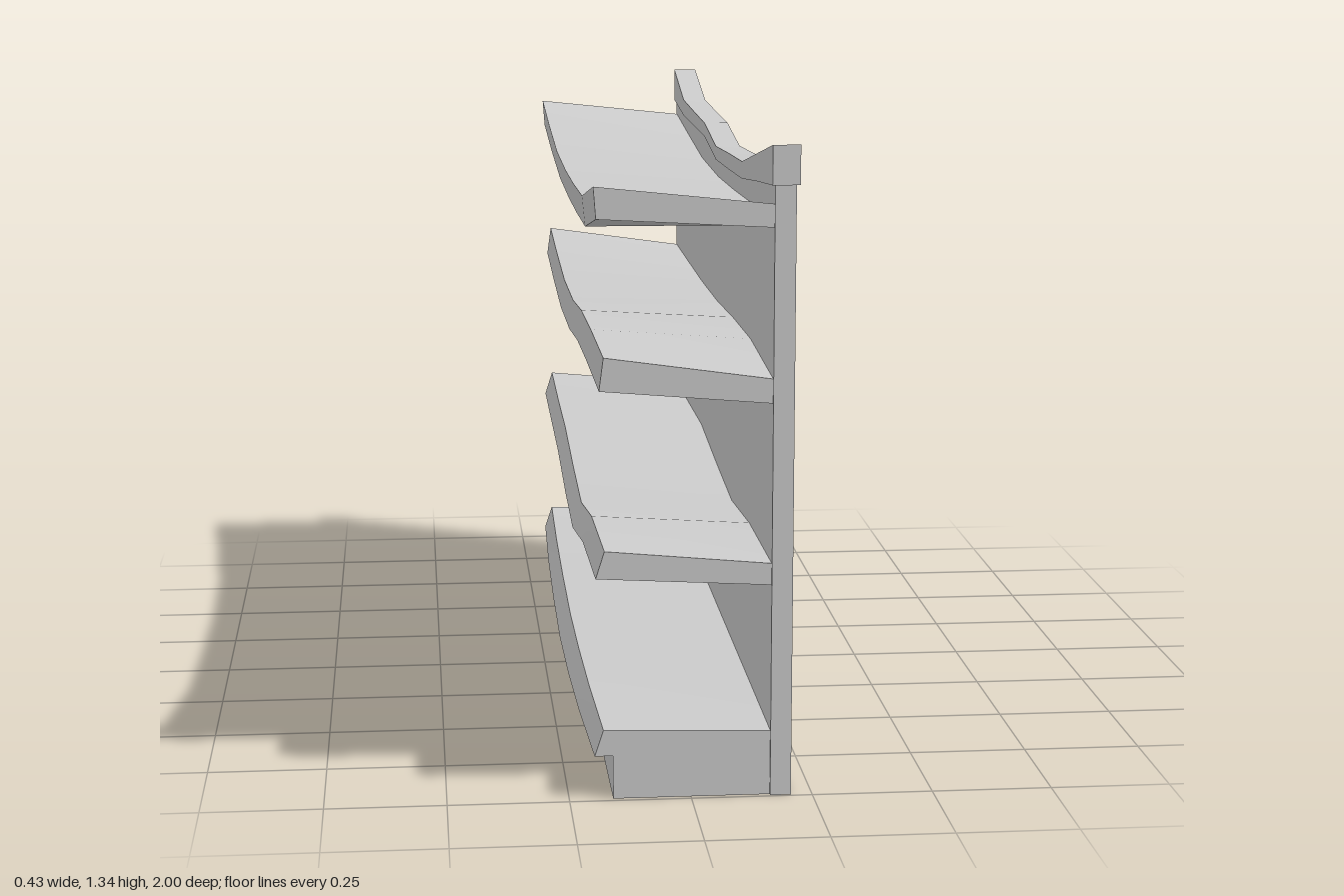
import * as THREE from 'three';

const material = new THREE.MeshStandardMaterial({ color: 0xcccccc });

// Lofts four-cornered sections along z. Each section is
// { z, c: [[x, y] innerBottom, innerTop, outerTop, outerBottom] }, z rising.
// Sides share normals along the length and stay sharp at the long edges.
function loft(name, sections) {
  const pos = [], idx = [];
  for (let side = 0; side < 4; side++) {
    const base = pos.length / 3;
    for (const { z, c } of sections) {
      pos.push(...c[side], z, ...c[(side + 1) % 4], z);
    }
    for (let i = 0; i < sections.length - 1; i++) {
      const a = base + i * 2;
      idx.push(a, a + 1, a + 2, a + 1, a + 3, a + 2);
    }
  }
  // End caps
  [sections[0], sections[sections.length - 1]].forEach(({ z, c }, end) => {
    const b = pos.length / 3;
    c.forEach((p) => pos.push(...p, z));
    if (end) idx.push(b, b + 1, b + 2, b, b + 2, b + 3);
    else idx.push(b, b + 2, b + 1, b, b + 3, b + 2);
  });
  const geo = new THREE.BufferGeometry();
  geo.setAttribute('position', new THREE.Float32BufferAttribute(pos, 3));
  geo.setIndex(idx);
  geo.computeVertexNormals();
  const mesh = new THREE.Mesh(geo, material);
  mesh.name = name;
  return mesh;
}

const rect = (x0, x1, y0, y1) => [[x1, y0], [x1, y1], [x0, y1], [x0, y0]];

function box(name, x0, x1, y0, y1, z0, z1) {
  const mesh = new THREE.Mesh(new THREE.BoxGeometry(x1 - x0, y1 - y0, z1 - z0), material);
  mesh.position.set((x0 + x1) / 2, (y0 + y1) / 2, (z0 + z1) / 2);
  mesh.name = name;
  return mesh;
}

// Stations along each shelf
const stations = [-0.99, -0.68, -0.35, 0, 0.3, 0.62, 0.99];

// Shelf edges as [x, y] at the ends; sag / rootSag are height offsets per
// station at the free and wall edges, bow pushes the free edge outward.
const shelves = [
  { top: [-0.18, 0.147], bottom: [-0.198, 0.092], root: [0.09, 0.137],
    sag: [0, -0.015, -0.025, -0.03, -0.027, -0.018, 0],
    rootSag: [0, 0, 0, 0, 0, 0, 0],
    bow: [0, 0.008, 0.013, 0.016, 0.014, 0.009, 0] },
  { top: [-0.177, 0.522], bottom: [-0.195, 0.465], root: [0.445, 0.49],
    sag: [0, -0.015, -0.02, -0.045, -0.06, -0.015, 0],
    rootSag: [0, 0.008, 0.014, -0.012, -0.03, -0.005, 0],
    bow: [0, 0, 0.002, 0.004, 0.005, 0.002, 0] },
  { top: [-0.178, 0.918], bottom: [-0.187, 0.85], root: [0.82, 0.87],
    sag: [0, -0.025, -0.045, -0.04, -0.015, -0.005, 0],
    rootSag: [0, -0.002, -0.004, 0, 0.012, 0.018, 0],
    bow: [0, 0, 0, 0, 0, 0, 0] },
  { top: [-0.197, 1.26], bottom: [-0.192, 1.195], root: [1.175, 1.222],
    sag: [0, -0.037, -0.07, -0.077, -0.073, -0.062, 0],
    rootSag: [0, -0.025, -0.05, -0.057, -0.052, -0.043, 0],
    bow: [0, -0.002, -0.005, -0.006, -0.005, -0.003, 0] },
];

// Wavy top line of the rear wall: [z, cap underside, cap top]
const crest = [
  [-1, 1.26, 1.34], [-0.75, 1.24, 1.28], [-0.5, 1.238, 1.273], [-0.25, 1.235, 1.267],
  [0, 1.205, 1.236], [0.25, 1.21, 1.246], [0.5, 1.217, 1.254], [0.75, 1.24, 1.297], [1, 1.26, 1.34],
];

export function createModel() {
  const group = new THREE.Group();
  group.name = 'wavyShelfUnit';

  // Upright wall and the cap that runs along its top
  group.add(loft('wallPanel', crest.map(([z, y]) => (
    { z: z * 0.995, c: rect(0.163, 0.206, 0, y + 0.008) }))));
  group.add(loft('topCap', crest.map(([z, y0, y1]) => (
    { z, c: rect(0.157, 0.213, y0, y1) }))));

  // Four warped shelves
  shelves.forEach(({ top, bottom, root, sag, rootSag, bow }, n) => {
    group.add(loft(`shelf${n + 1}`, stations.map((z, i) => ({
      z,
      c: [
        [0.165, root[0] + rootSag[i]],
        [0.165, root[1] + rootSag[i]],
        [top[0] - bow[i] * 0.5, top[1] + sag[i]],
        [bottom[0] - bow[i], bottom[1] + sag[i]],
      ],
    }))));
  });

  // Hollow plinth, open underneath
  const plinth = new THREE.Group();
  plinth.name = 'plinth';
  plinth.add(box('plinthFront', -0.16, -0.152, 0, 0.092, -0.988, 0.988));
  for (const s of [-1, 1]) {
    const z = s * 0.984;
    plinth.add(box(s > 0 ? 'plinthEndFront' : 'plinthEndBack', -0.16, 0.165, 0, 0.092, z - 0.004, z + 0.004));
  }
  group.add(plinth);

  return group;
}
